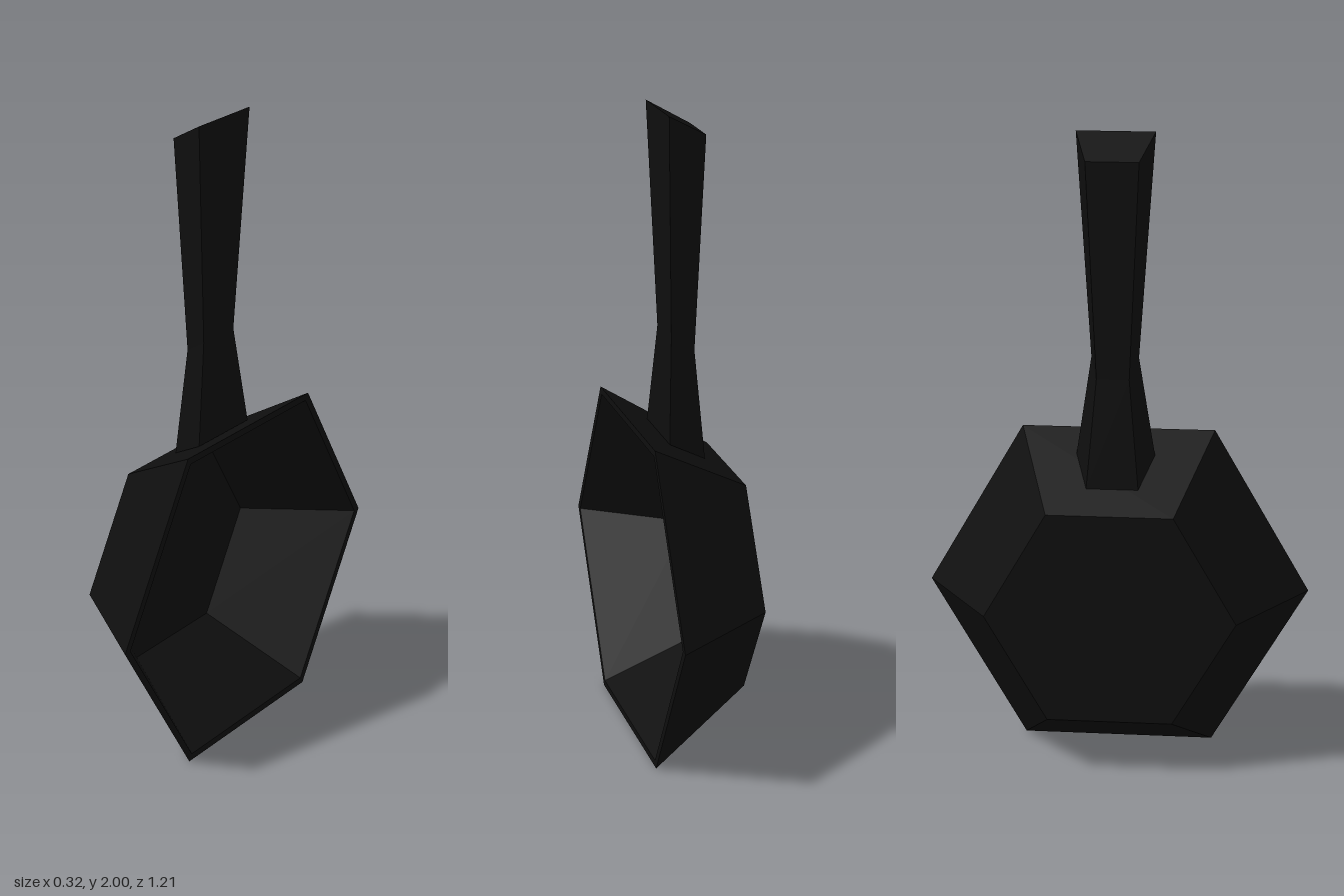
import * as THREE from 'three';

// Flat facets: unshare the vertices and give each face its own normal
function faceted(geometry) {
  const flat = geometry.index ? geometry.toNonIndexed() : geometry;
  flat.computeVertexNormals();
  return flat;
}

// Tapered bar through four-sided rings; each ring is wider on its +x side
function makeHandle(rings) {
  const positions = [];
  const index = [];
  for (const r of rings) {
    positions.push(
      r.x1, r.y1, r.z1, r.x1, r.y1, -r.z1,
      r.x0, r.y0, -r.z0, r.x0, r.y0, r.z0
    );
  }
  for (let k = 0; k < rings.length - 1; k++) {
    for (let i = 0; i < 4; i++) {
      const a = k * 4 + i, b = k * 4 + (i + 1) % 4;
      index.push(a, b, b + 4, a, b + 4, a + 4);
    }
  }
  const t = (rings.length - 1) * 4;
  index.push(0, 2, 1, 0, 3, 2, t, t + 1, t + 2, t, t + 2, t + 3);
  const g = new THREE.BufferGeometry();
  g.setAttribute('position', new THREE.Float32BufferAttribute(positions, 3));
  g.setIndex(index);
  return faceted(g);
}

export function createModel() {
  const group = new THREE.Group();
  group.name = 'fryingPan';
  const black = new THREE.MeshStandardMaterial({ color: 0x0e0e0e, flatShading: true });
  black.name = 'castIronBlack';

  // Hexagonal bowl: outer base, flared wall, thin rim, inner wall, inner floor
  const profile = [
    [0, -0.16], [0.39, -0.16], [0.605, 0.16],
    [0.58, 0.16], [0.365, -0.148], [0, -0.148],
  ].map(([r, h]) => new THREE.Vector2(r, h));
  const bowlGeometry = new THREE.LatheGeometry(profile, 6);
  bowlGeometry.rotateZ(-Math.PI / 2); // opening faces +x
  const bowl = new THREE.Mesh(faceted(bowlGeometry), black);
  bowl.name = 'bowl';
  bowl.position.y = 0.524;
  group.add(bowl);

  // Handle: slanted foot on the bowl wall, narrow waist, slanted flared end
  const handle = new THREE.Mesh(makeHandle([
    { x0: -0.065, y0: 0.918, z0: 0.08, x1: 0.06, y1: 0.992, z1: 0.122 },
    { x0: -0.04, y0: 1.26, z0: 0.05, x1: 0.04, y1: 1.31, z1: 0.073 },
    { x0: -0.065, y0: 1.93, z0: 0.08, x1: 0.06, y1: 2.0, z1: 0.12 },
  ]), black);
  handle.name = 'handle';
  group.add(handle);

  return group;
}
